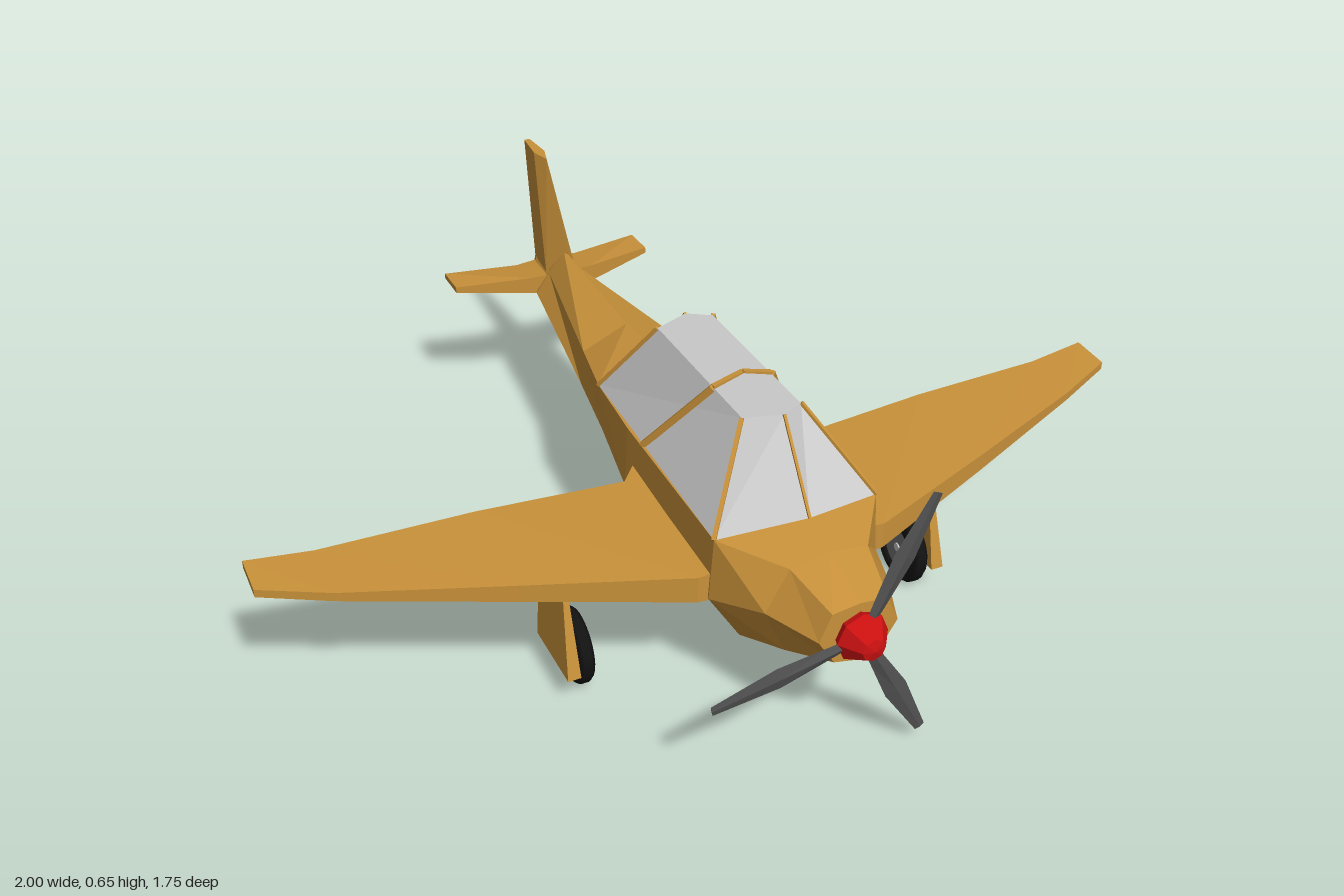
import * as THREE from 'three';

const paint = new THREE.MeshStandardMaterial({ color: 0xc8913a, flatShading: true });
const glass = new THREE.MeshStandardMaterial({ color: 0xcccccc, flatShading: true });
const red = new THREE.MeshStandardMaterial({ color: 0xcc1111, flatShading: true });
const dark = new THREE.MeshStandardMaterial({ color: 0x505050, flatShading: true });
const rubber = new THREE.MeshStandardMaterial({ color: 0x121212 });
const metal = new THREE.MeshStandardMaterial({ color: 0x777777 });

function add(parent, name, geometry, material) {
  const mesh = new THREE.Mesh(geometry, material);
  mesh.name = name;
  parent.add(mesh);
  return mesh;
}

// Closed solid through rings of [x, y, z] points, wound outwards
function loft(rings) {
  const tris = [];
  const n = rings[0].length;
  for (let r = 0; r + 1 < rings.length; r++) {
    for (let i = 0; i < n; i++) {
      const j = (i + 1) % n, a = rings[r], b = rings[r + 1];
      tris.push([a[i], a[j], b[j]], [a[i], b[j], b[i]]);
    }
  }
  const first = rings[0], last = rings[rings.length - 1];
  for (let i = 1; i + 1 < n; i++) {
    tris.push([first[0], first[i + 1], first[i]], [last[0], last[i], last[i + 1]]);
  }
  let volume = 0;
  for (const [a, b, c] of tris) {
    volume += new THREE.Vector3(...a).dot(new THREE.Vector3(...b).cross(new THREE.Vector3(...c)));
  }
  if (volume < 0) tris.forEach((t) => t.reverse());
  const geometry = new THREE.BufferGeometry();
  geometry.setAttribute('position', new THREE.Float32BufferAttribute(tris.flat(2), 3));
  geometry.computeVertexNormals();
  return geometry;
}

// Slim square bar between two points
function bar(parent, name, a, b, width, material) {
  const p = new THREE.Vector3(...a), q = new THREE.Vector3(...b);
  const mesh = add(parent, name, new THREE.BoxGeometry(width, width, p.distanceTo(q)), material);
  mesh.position.copy(p).add(q).multiplyScalar(0.5);
  mesh.lookAt(q);
}

// Tyre with a hub, axle along x
function wheel(parent, name, x, y, z, radius, width) {
  const group = new THREE.Group();
  group.name = name;
  const w = width / 2, inner = radius * 0.62;
  const profile = [[inner, -w], [radius * 0.92, -w], [radius, -w * 0.5], [radius, w * 0.5],
    [radius * 0.92, w], [inner, w], [inner, -w]].map((p) => new THREE.Vector2(...p));
  add(group, 'tyre', new THREE.LatheGeometry(profile, 24), rubber);
  add(group, 'hub', new THREE.CylinderGeometry(inner, inner, width * 0.8, 20), metal);
  add(group, 'hubCap', new THREE.CylinderGeometry(radius * 0.12, radius * 0.12, width, 10), glass);
  group.rotation.z = Math.PI / 2;
  group.position.set(x, y, z);
  parent.add(group);
}

export function createModel() {
  const plane = new THREE.Group();
  plane.name = 'aeroplane';

  // Fuselage: z, then half section from top centre to bottom centre
  const stations = [
    [0.81, [0, 0.387], [0.06, 0.38], [0.085, 0.32], [0.05, 0.262], [0, 0.25]],
    [0.69, [0, 0.425], [0.085, 0.41], [0.135, 0.32], [0.09, 0.215], [0, 0.2]],
    [0.56, [0, 0.45], [0.18, 0.42], [0.19, 0.28], [0.12, 0.165], [0, 0.145]],
    [0.13, [0, 0.45], [0.17, 0.42], [0.18, 0.28], [0.115, 0.165], [0, 0.145]],
    [-0.06, [0, 0.45], [0.157, 0.42], [0.15, 0.3], [0.1, 0.205], [0, 0.19]],
    [-0.26, [0, 0.435], [0.11, 0.387], [0.118, 0.3], [0.075, 0.225], [0, 0.21]],
    [-0.65, [0, 0.45], [0.04, 0.39], [0.075, 0.34], [0.05, 0.285], [0, 0.27]],
    [-0.81, [0, 0.38], [0.015, 0.37], [0.02, 0.345], [0.015, 0.318], [0, 0.31]],
  ];
  add(plane, 'fuselage', loft(stations.map(([z, ...half]) => [
    ...half.map(([x, y]) => [x, y, z]),
    ...half.slice(1, -1).reverse().map(([x, y]) => [-x, y, z]),
  ])), paint);

  // Canopy glass and its frames
  const base = [[0, 0.45, 0.61], [0.18, 0.42, 0.56], [0.157, 0.42, -0.06],
    [0, 0.45, -0.065], [-0.157, 0.42, -0.06], [-0.18, 0.42, 0.56]];
  const roof = [[0, 0.62, 0.495], [0.065, 0.6, 0.445], [0.065, 0.6, 0.055],
    [0, 0.62, 0.055], [-0.065, 0.6, 0.055], [-0.065, 0.6, 0.445]];
  add(plane, 'canopy', loft([base, roof]), glass);
  base.forEach((p, i) => bar(plane, 'canopyFrame', p, roof[i], i % 3 ? 0.009 : 0.006, paint));
  for (const s of [1, -1]) {
    bar(plane, 'canopySideFrame', [s * 0.167, 0.42, 0.2], [s * 0.065, 0.6, 0.32], 0.014, paint);
    bar(plane, 'canopyRoofFrame', [s * 0.065, 0.6, 0.32], [0, 0.618, 0.32], 0.012, paint);
  }

  // Fin
  const finSection = (y, front, back, w) => [[0, y, front], [w, y, front - 0.05],
    [w * 0.5, y, back], [-w * 0.5, y, back], [-w, y, front - 0.05]];
  const fin = finSection(0.37, -0.62, -0.8, 0.04);
  fin[0][1] = 0.45;
  add(plane, 'fin', loft([fin, finSection(0.655, -0.74, -0.875, 0.014)]), paint);

  for (const s of [1, -1]) {
    const side = s > 0 ? 'left' : 'right';
    // Flat surface: x, leading z, trailing z, front bottom and top, rear bottom and top
    const surface = (rows) => loft(rows.map(([x, zf, zb, fb, ft, rb, rt]) => [
      [s * x, fb, zf], [s * x, ft, zf], [s * x, rt, zb], [s * x, rb, zb]]));
    add(plane, side + 'Wing', surface([
      [0.14, 0.56, 0.13, 0.275, 0.345, 0.275, 0.36],
      [0.21, 0.555, 0.2, 0.275, 0.335, 0.285, 0.34],
      [0.53, 0.43, 0.175, 0.295, 0.335, 0.305, 0.345],
      [0.86, 0.29, 0.15, 0.308, 0.328, 0.312, 0.335],
      [1, 0.23, 0.138, 0.322, 0.34, 0.328, 0.346],
    ]), paint);
    add(plane, side + 'Tailplane', surface([
      [0.02, -0.65, -0.79, 0.33, 0.385, 0.315, 0.36],
      [0.08, -0.665, -0.78, 0.335, 0.378, 0.325, 0.36],
      [0.26, -0.73, -0.817, 0.345, 0.36, 0.345, 0.358],
    ]), paint);

    // Main gear with its outer cover
    const cover = (y, x0, x1, zf, zb) => [[s * x0, y, zf], [s * x1, y, zf], [s * x1, y, zb], [s * x0, y, zb]];
    add(plane, side + 'GearCover', loft([
      cover(0.07, 0.418, 0.447, 0.445, 0.275), cover(0.31, 0.424, 0.43, 0.387, 0.263)]), paint);
    wheel(plane, side + 'Wheel', s * 0.398, 0.083, 0.355, 0.083, 0.033);
    bar(plane, side + 'Axle', [s * 0.4, 0.083, 0.355], [s * 0.43, 0.083, 0.355], 0.02, metal);
  }

  // Tail wheel and strut
  wheel(plane, 'tailWheel', 0, 0.187, -0.525, 0.053, 0.022);
  for (const s of [1, -1]) {
    bar(plane, 'tailStrut', [s * 0.014, 0.187, -0.525], [s * 0.014, 0.275, -0.525], 0.007, metal);
  }

  // Propeller: spinner and three swept blades
  const propeller = new THREE.Group();
  propeller.name = 'propeller';
  propeller.position.set(0, 0.317, 0.825);
  const spinner = [[0, -0.02], [0.05, -0.015], [0.055, 0], [0.025, 0.042], [0, 0.048]];
  add(propeller, 'spinner',
    new THREE.LatheGeometry(spinner.map((p) => new THREE.Vector2(...p)), 8), red).rotation.x = Math.PI / 2;
  const bladeRows = [[0.02, 0.01, 0.006], [0.08, 0.016, 0.007], [0.18, 0.025, 0.006], [0.32, 0.011, 0.002]];
  const blade = loft(bladeRows.map(([r, w, t]) => [[r, -w, 0], [r, 0, t], [r, w, 0], [r, 0, -t]]));
  for (const angle of [64.5, 191.5, 298]) {
    add(propeller, 'blade', blade, dark).rotation.z = THREE.MathUtils.degToRad(angle);
  }
  plane.add(propeller);
  return plane;
}
